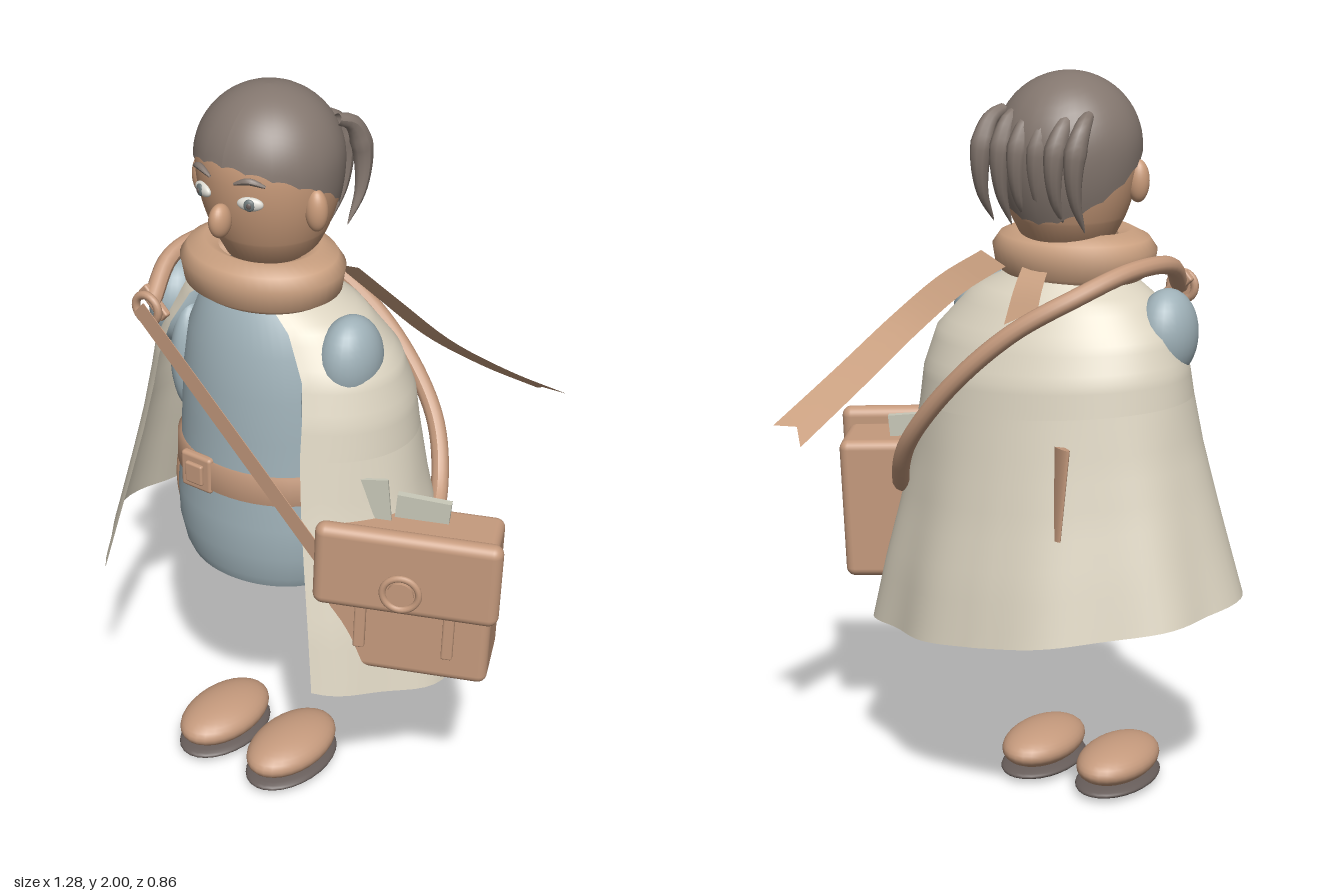
import * as THREE from 'three';
import { RoundedBoxGeometry } from 'three/addons/geometries/RoundedBoxGeometry.js';

const paint = (name, color, side = THREE.FrontSide) => {
  const m = new THREE.MeshStandardMaterial({ color, side });
  m.name = name;
  return m;
};
const V = (x, y, z) => new THREE.Vector3(x, y, z);
const CX = -0.137; // the body's own middle line

// Surface from a function of (u, v) in 0..1
function sheet(fn, nu, nv) {
  const pos = [], idx = [];
  for (let j = 0; j <= nv; j++)
    for (let i = 0; i <= nu; i++) pos.push(...fn(i / nu, j / nv));
  for (let j = 0; j < nv; j++)
    for (let i = 0; i < nu; i++) {
      const a = j * (nu + 1) + i, b = a + nu + 1;
      idx.push(a, b, a + 1, a + 1, b, b + 1);
    }
  const g = new THREE.BufferGeometry();
  g.setAttribute('position', new THREE.Float32BufferAttribute(pos, 3));
  g.setIndex(idx);
  g.computeVertexNormals();
  return g;
}

// Tube whose radius follows taper(t)
function taperedTube(points, radius, taper, segs = 20, sides = 10) {
  const curve = new THREE.CatmullRomCurve3(points);
  const g = new THREE.TubeGeometry(curve, segs, radius, sides);
  const p = g.attributes.position, v = V(0, 0, 0);
  for (let i = 0; i < p.count; i++) {
    const t = Math.floor(i / (sides + 1)) / segs, c = curve.getPointAt(t);
    v.fromBufferAttribute(p, i).sub(c).multiplyScalar(taper(t)).add(c);
    p.setXYZ(i, v.x, v.y, v.z);
  }
  g.computeVertexNormals();
  return g;
}

// Cloth ribbon along a curve, with a notched end; its face side looks up
function ribbon(points, across, w0, w1, notch) {
  const curve = new THREE.CatmullRomCurve3(points);
  return sheet((u, v) => {
    const end = 1 - notch * (1 - Math.abs(2 * u - 1));
    const c = curve.getPointAt(v * end);
    return c.addScaledVector(across, (0.5 - u) * (w0 + (w1 - w0) * v)).toArray();
  }, 6, 20);
}

const headRadius = y => y > 1.81
  ? Math.sqrt(Math.max(0, 0.187 ** 2 - (y - 1.81) ** 2))
  : 0.187 - 0.05 * ((1.81 - y) / 0.21) ** 2;

// Cape rings: height, tilt along x, centre x and z, radii x and z, forward flare
const yokeRings = [
  [1.48, 0, -0.135, 0.12, 0.15, 0.14, 0], [1.42, -0.02, -0.122, 0.1, 0.257, 0.18, 0.005],
  [1.32, -0.05, -0.11, 0.085, 0.342, 0.225, 0.015], [1.22, -0.07, -0.11, 0.08, 0.375, 0.26, 0.02],
  [1.13, -0.09, -0.11, 0.08, 0.386, 0.273, 0.03]];
const skirtRings = [
  [1.13, -0.09, -0.11, 0.08, 0.386, 0.273, 0.03], [0.99, -0.105, -0.108, 0.08, 0.412, 0.298, 0.03],
  [0.85, -0.12, -0.105, 0.08, 0.447, 0.325, 0.03], [0.69, -0.145, -0.1, 0.078, 0.49, 0.36, 0.03],
  [0.53, -0.167, -0.1, 0.075, 0.53, 0.388, 0.03]];
function capeGeometry(rings, fold) {
  return sheet((u, v) => {
    const k = v * (rings.length - 1), i = Math.min(Math.floor(k), rings.length - 2);
    const [y, tilt, cx, cz, rx, rz, flare] = rings[i].map((a, n) => a + (rings[i + 1][n] - a) * (k - i));
    const a = 0.64 + u * (Math.PI * 2 - 0.64 - 0.78), s = Math.sin(a), c = Math.cos(a);
    const f = 1 + fold * v * Math.cos(9 * a);
    const x = cx + rx * f * s;
    const z = cz + rz * f * c + flare * Math.max(0, c) + 4 * fold * v * Math.max(0, -s * c);
    return [x, y + tilt * x, z];
  }, 72, 16);
}

export function createModel() {
  const model = new THREE.Group();
  const D = THREE.DoubleSide;
  const skin = paint('skin', 0xc99b7a), leather = paint('leather', 0xc59a7d);
  const scarf = paint('scarf cloth', 0xcaa080, D), cloak = paint('cape cloth', 0xdcd4c1, D);
  const tunic = paint('tunic blue', 0x9fb1b8, D), hairMat = paint('hair', 0x84776f, D);
  const dark = paint('dark sole', 0x675d5a), white = paint('eye white', 0xdedcd4);
  const paper = paint('paper', 0xc8c8b8), iris = paint('iris', 0x6d7778);

  const add = (name, geo, mat, p = [0, 0, 0], s = [1, 1, 1], r = [0, 0, 0], parent = model) => {
    const m = new THREE.Mesh(geo, mat);
    m.name = name;
    m.position.set(...p);
    m.scale.set(...s);
    m.rotation.set(...r);
    parent.add(m);
    return m;
  };
  const ball = new THREE.SphereGeometry(1, 28, 18);
  const lathe = pts => new THREE.LatheGeometry(pts.map(([r, y]) => new THREE.Vector2(r, y)), 48);

  // Tunic, open below, and belt
  add('tunic', lathe([[0.23, 0.66], [0.245, 0.69], [0.261, 0.76], [0.263, 0.85], [0.25, 0.97],
    [0.243, 1.1], [0.235, 1.22], [0.215, 1.34], [0.17, 1.45], [0.1, 1.52]]), tunic, [CX, 0, 0.13], [1, 1, 0.78]);
  add('belt', lathe([[0.24, 0.93], [0.263, 0.93], [0.259, 1.01], [0.236, 1.01]]), leather, [CX, 0, 0.13], [1, 1, 0.78]);
  add('buckle', new RoundedBoxGeometry(0.1, 0.105, 0.025, 2, 0.01), leather, [-0.215, 0.968, 0.325]);
  add('buckleFrame', new RoundedBoxGeometry(0.056, 0.06, 0.015, 2, 0.006), leather, [-0.215, 0.968, 0.34]);

  // Arms, hands and shoes, mirrored about the body's middle
  for (const s of [-1, 1]) {
    add('shoulder', ball, tunic, [CX + s * 0.277, 1.335, 0.135], [0.078, 0.12, 0.098]);
    add('sleeve', ball, tunic, [CX + s * 0.215, 1.2, 0.17], [0.05, 0.16, 0.07]);
    add('hand', ball, skin, [CX + s * 0.22, 0.84, 0.175], [0.045, 0.14, 0.055]);
    add('shoe', ball, leather, [CX + s * 0.12, 0.079, 0.198], [0.1, 0.056, 0.16]);
    add('sole', ball, dark, [CX + s * 0.12, 0.026, 0.198], [0.103, 0.022, 0.163]);
  }

  // Head and face
  const profile = [[0, 1.56], [0.115, 1.56]];
  for (let i = 1; i <= 21; i++) {
    const y = 1.81 - 0.187 * Math.cos(i / 21 * Math.PI);
    profile.push([headRadius(y), y]);
  }
  add('head', lathe(profile), skin, [CX, 0, 0.1]);
  add('nose', ball, skin, [CX, 1.705, 0.3], [0.026, 0.045, 0.034]);
  for (const s of [-1, 1]) {
    add('ear', ball, skin, [CX + s * 0.18, 1.725, 0.145], [0.03, 0.056, 0.028]);
    const face = new THREE.Group();
    face.name = 'eye';
    face.position.set(CX + s * 0.074, 1.76, 0.272);
    face.rotation.y = s * 0.38;
    model.add(face);
    add('eyeWhite', ball, white, [0, 0, 0], [0.034, 0.018, 0.013], [0, 0, 0], face);
    add('iris', ball, iris, [0, 0, 0.009], [0.015, 0.016, 0.007], [0, 0, 0], face);
    add('pupil', ball, dark, [0, 0, 0.014], [0.007, 0.008, 0.004], [0, 0, 0], face);
    add('brow', taperedTube([V(-0.04, 0.05, 0.002), V(0, 0.063, 0.008), V(0.04, 0.05, 0.002)], 0.009,
      t => 0.4 + 0.6 * Math.sin(Math.PI * t), 12, 8), hairMat, [0, 0, 0], [1, 1, 1], [0, 0, 0], face);
  }

  // Hair cap: low at the nape, high and scalloped at the forehead
  add('hair', sheet((u, v) => {
    const a = u * Math.PI * 2, c = Math.cos(a);
    const line = 1.75 + (c > 0 ? 0.092 : 0.125) * c + 0.008 * Math.abs(Math.sin(9 * a));
    const phi = v * Math.acos((line - 1.81) / 0.19), y = 1.81 + 0.19 * Math.cos(phi);
    const r = phi < Math.PI / 2 ? 0.191 * Math.sin(phi) : headRadius(y) + 0.004;
    return [CX + r * Math.sin(a), y, 0.1 + r * c];
  }, 72, 18), hairMat);
  for (let i = 0; i < 6; i++) {
    const x = -0.26 + i * 0.054, d = 0.006 * (i % 2);
    add('hairLock', taperedTube([V(CX + (x - CX) * 0.92, 1.905, 0.0), V(x, 1.885, -0.045), V(x + 0.008, 1.81, -0.073 - d),
      V(x + 0.012, 1.7, -0.062 - d), V(x + 0.006, 1.61 + d, -0.02)], 0.03,
    t => t < 0.35 ? 0.5 + t * 1.4 : Math.max(0.03, ((1 - t) / 0.65) ** 0.75)), hairMat);
  }

  // Scarf: thick collar and two loose tails
  add('scarfCollar', lathe([[0.13, 1.475], [0.185, 1.462], [0.216, 1.482], [0.226, 1.54], [0.205, 1.57],
    [0.158, 1.592], [0.12, 1.575]]), scarf, [CX, 0, 0.135], [1, 1, 0.82]);
  add('longTail', ribbon([V(0.03, 1.51, 0.0), V(0.14, 1.435, -0.03), V(0.24, 1.33, -0.1), V(0.325, 1.2, -0.25),
    V(0.4, 1.075, -0.425)], V(0.9, 0.28, 0.27).normalize(), 0.1, 0.12, 0.05), scarf);
  add('shortTail', ribbon([V(-0.12, 1.52, -0.03), V(-0.12, 1.46, -0.075), V(-0.12, 1.37, -0.12)],
    V(1, 0, 0), 0.075, 0.09, 0.15), scarf);

  // Cape: yoke and folded skirt, open at the front
  add('capeYoke', capeGeometry(yokeRings, 0), cloak);
  add('capeSkirt', capeGeometry(skirtRings, 0.022), cloak);
  add('sheath', new THREE.CylinderGeometry(0.045, 0.03, 0.24, 12), leather, [-0.285, 0.97, -0.2],
    [0.25, 1, 1], [0.12, 0.95, 0]);

  // Satchel strap: rope round the back, flat band across the chest
  add('backStrap', taperedTube([V(-0.35, 1.42, 0.33), V(-0.385, 1.5, 0.2), V(-0.355, 1.51, 0.04), V(-0.275, 1.46, -0.1),
    V(-0.14, 1.37, -0.185), V(0.02, 1.22, -0.222), V(0.18, 1.03, -0.19), V(0.275, 0.88, -0.08), V(0.35, 0.83, 0.1)],
  0.024, () => 1, 60, 12), leather);
  add('frontStrap', new THREE.BoxGeometry(0.79, 0.05, 0.002), leather, [-0.075, 1.15, 0.361], [1, 1, 1],
    [0, 0, Math.atan2(-0.52, 0.56)]);
  add('strapRing', new THREE.TorusGeometry(0.037, 0.011, 10, 28), leather, [-0.35, 1.415, 0.345]);
  add('strapClasp', new RoundedBoxGeometry(0.1, 0.035, 0.02, 2, 0.006), leather, [-0.35, 1.42, 0.315], [1, 1, 1], [0, 0, -0.75]);

  // Satchel, in its own frame: x along its width, z out of its front
  const bag = new THREE.Group();
  bag.name = 'satchel';
  bag.position.set(0.37, 0.75, 0.18);
  bag.rotation.set(0, 0.445, -0.04);
  model.add(bag);
  const part = (name, geo, mat, p, r) => add(name, geo, mat, p, [1, 1, 1], r, bag);
  part('bagBody', new RoundedBoxGeometry(0.44, 0.4, 0.205, 3, 0.025), leather, [0, -0.007, -0.012]);
  part('bagFlap', new RoundedBoxGeometry(0.48, 0.24, 0.055, 5, 0.027), leather, [0, 0.118, 0.1]);
  part('flapRing', new THREE.TorusGeometry(0.047, 0.009, 10, 32), leather, [-0.01, 0.073, 0.131]);
  part('flapStud', new THREE.CylinderGeometry(0.034, 0.034, 0.02, 28), leather, [-0.01, 0.073, 0.128], [Math.PI / 2, 0, 0]);
  for (const s of [-1, 1])
    part('bagStrap', new RoundedBoxGeometry(0.03, 0.14, 0.02, 2, 0.006), leather, [s * 0.115, -0.06, 0.097]);
  part('tallPaper', new THREE.BoxGeometry(0.075, 0.2, 0.009), paper, [-0.105, 0.208, -0.02], [0, 0, 0.12]);
  part('widePaper', new THREE.BoxGeometry(0.14, 0.14, 0.02), paper, [0.01, 0.186, -0.045], [0, 0, -0.06]);
  return model;
}
